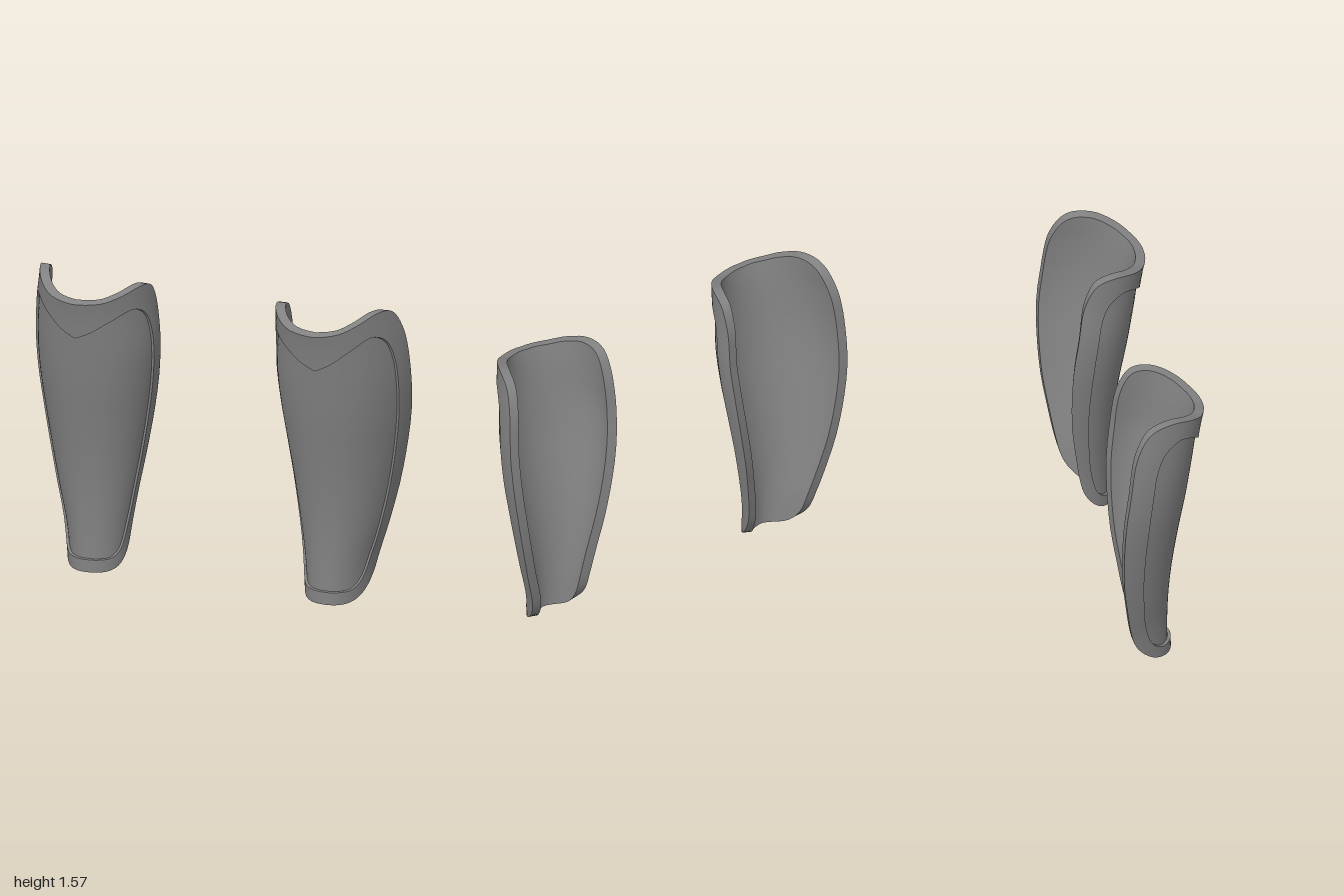
import * as THREE from 'three';
import { toCreasedNormals } from 'three/addons/utils/BufferGeometryUtils.js';

const HALF = 56;          // samples along each half outline
const THICKNESS = 0.05;
const CENTRE_X = 0.65;
const OUTER_TURN = Math.PI / 2;
const INNER_TURN = 1.83;  // the inner side curls slightly round the calf
const POLE = new THREE.Vector2(0, 0.72);

// Smooth value against height, sampled every 0.2 from y = 0 to 1.6
const byHeight = (values) => {
  const curve = new THREE.SplineCurve(values.map((v, i) => new THREE.Vector2(i, v)));
  return (y) => curve.getPoint(THREE.MathUtils.clamp(y / 1.6, 0, 1)).y;
};
const outerWidth = byHeight([0.165, 0.19, 0.24, 0.285, 0.32, 0.345, 0.35, 0.335, 0.305]);
const innerWidth = byHeight([0.16, 0.175, 0.205, 0.24, 0.275, 0.305, 0.32, 0.31, 0.30]);
const frontZ = byHeight([0.075, 0.073, 0.08, 0.1, 0.13, 0.165, 0.195, 0.225, 0.265]);
const backZ = byHeight([-0.17, -0.18, -0.2, -0.225, -0.235, -0.23, -0.215, -0.215, -0.22]);

// Half outlines from top centre round to bottom centre: [turn around the leg, height]
const EDGE = [[0, 1.476], [0.25, 1.494], [0.45, 1.532], [0.65, 1.568], [0.82, 1.55],
  [0.92, 1.45], [0.97, 1.31], [1, 1.07], [1, 0.75], [1, 0.45], [0.97, 0.24],
  [0.885, 0.122], [0.67, 0.038], [0.39, 0.006], [0, 0.003]];
const PANEL = [[0, 1.28], [0.14, 1.32], [0.33, 1.39], [0.55, 1.45], [0.7, 1.41],
  [0.77, 1.3], [0.79, 1.15], [0.79, 0.95], [0.79, 0.75], [0.79, 0.45], [0.77, 0.28],
  [0.68, 0.14], [0.5, 0.08], [0.25, 0.07], [0, 0.07]];

// Closed outline; the inner side mirrors the outer side with a lower shoulder
function outline(points) {
  const curve = new THREE.SplineCurve(points.map(([u, y]) => new THREE.Vector2(u, y)));
  const half = curve.getPoints(HALF);
  const mirrored = half.slice(1, -1).reverse().map((p) => {
    const drop = 0.025 * Math.min(1, p.x * 1.6) * THREE.MathUtils.smoothstep(p.y, 1.2, 1.5);
    return new THREE.Vector2(-p.x, p.y - drop);
  });
  return [...half, ...mirrored];
}

// Point on the elliptical shin surface
function surface(u, y) {
  const outer = u > 0;
  const turn = outer ? OUTER_TURN : INNER_TURN;
  const width = outer ? outerWidth(y) : innerWidth(y);
  const back = backZ(y) + (outer ? 0 : 0.045);
  const front = frontZ(y);
  const depth = (front - back) / (1 - Math.cos(turn));
  return new THREE.Vector3(CENTRE_X + width * Math.sin(u * turn), y,
    front - depth * (1 - Math.cos(u * turn)));
}

// Surface point pushed inward along the normal
function sunk(p, depth) {
  const e = 0.002;
  const y = Math.max(0, p.y);
  const base = surface(p.x, y);
  const du = surface(p.x + e, y).sub(base);
  const dy = surface(p.x, y + e).sub(base);
  return base.addScaledVector(du.cross(dy).normalize(), -depth);
}

const blend = (from, to, k) => to.map((p, i) => (from ? from[i] : POLE).clone().lerp(p, k));
const ring = (points, depth) => points.map((p) => sunk(p, depth));

// The panel is sunk deeper at the front than along its sides
const panelRing = (points) => points.map((p) => sunk(p, 0.018 - 0.008 * Math.abs(p.x)));

// Skin a series of closed rings; side = -1 mirrors it
function loft(rings, side) {
  const n = rings[0].length;
  const position = rings.flat().flatMap((p) => [p.x * side, p.y, p.z]);
  const index = [];
  for (let r = 0; r < rings.length - 1; r++) {
    for (let i = 0; i < n; i++) {
      const a = r * n + i, b = r * n + (i + 1) % n, c = a + n, d = b + n;
      if (side > 0) index.push(a, b, c, b, d, c);
      else index.push(a, c, b, b, c, d);
    }
  }
  const geometry = new THREE.BufferGeometry();
  geometry.setAttribute('position', new THREE.Float32BufferAttribute(position, 3));
  geometry.setIndex(index);
  return toCreasedNormals(geometry, 0.6);
}

export function createModel() {
  const model = new THREE.Group();
  const material = new THREE.MeshStandardMaterial({ color: 0x838383 });
  const edge = outline(EDGE);
  const panel = outline(PANEL);

  // Recessed front panel, from its middle outwards
  const panelRings = [];
  for (let k = 0; k <= 16; k++) panelRings.push(panelRing(blend(null, panel, k / 16)));

  // Step up to the raised border, round the rim, then the lining back to the middle
  const shellRings = [panelRing(panel)];
  for (let k = 0; k <= 5; k++) shellRings.push(ring(blend(panel, edge, 0.02 + 0.98 * k / 5), 0));
  for (let k = 18; k >= 0; k--) shellRings.push(ring(blend(null, edge, k / 18), THICKNESS));

  for (const [name, side] of [['left', 1], ['right', -1]]) {
    const guard = new THREE.Group();
    guard.name = `${name}ShinGuard`;
    for (const [part, rings] of [['FrontPanel', panelRings], ['BorderAndLining', shellRings]]) {
      const mesh = new THREE.Mesh(loft(rings, side), material);
      mesh.name = name + part;
      guard.add(mesh);
    }
    model.add(guard);
  }
  return model;
}
